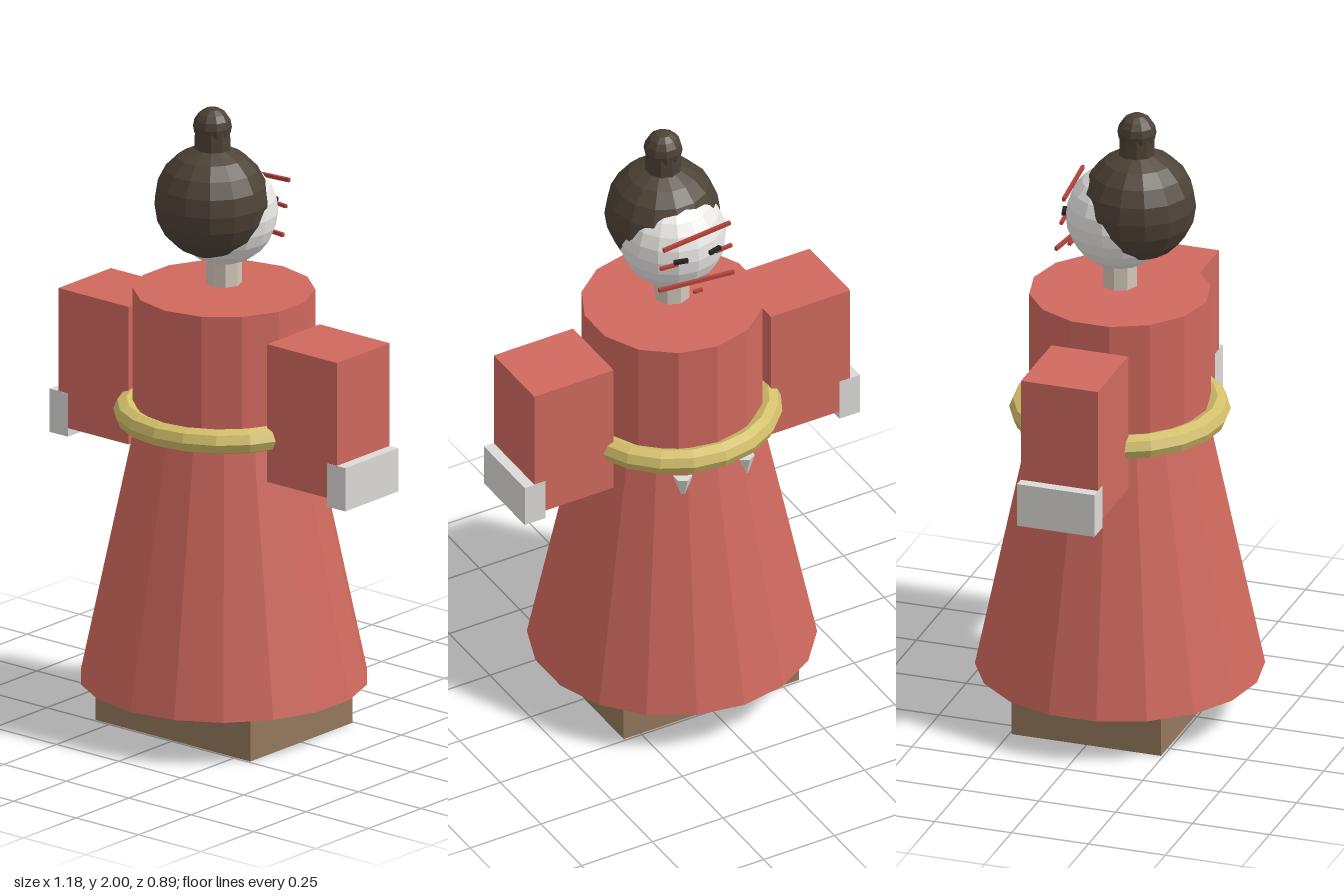
import * as THREE from 'three';

const mat = (color) => new THREE.MeshStandardMaterial({ color, flatShading: true });

export function createModel() {
  const model = new THREE.Group();
  const robe = mat(0xd0695e), gold = mat(0xd2bf6a), hairMat = mat(0x4c4236);
  const wood = mat(0x94785c), white = mat(0xe9e7e4), pale = mat(0xdcdad6);
  const skin = mat(0xd4c8b8), red = mat(0xb5433c), black = mat(0x26221f);

  const add = (name, geometry, material, x, y, z) => {
    const mesh = new THREE.Mesh(geometry, material);
    mesh.name = name;
    mesh.position.set(x, y, z);
    model.add(mesh);
    return mesh;
  };
  const box = (w, h, d) => new THREE.BoxGeometry(w, h, d);

  // Plinth and robe
  add('base', box(0.62, 0.15, 0.485), wood, 0, 0.075, 0);
  add('skirt', new THREE.CylinderGeometry(0.265, 0.445, 0.86, 18), robe, 0, 0.575, 0);
  add('torso', new THREE.CylinderGeometry(0.28, 0.28, 0.44, 14), robe, 0, 1.18, 0);
  add('belt', new THREE.TorusGeometry(0.3, 0.04, 8, 20), gold, 0, 1.005, 0).rotation.set(Math.PI / 2, 0, Math.PI / 2);

  // Sleeves, hands and small points below the belt
  for (const s of [-1, 1]) {
    add('sleeve', box(0.28, 0.445, 0.25), robe, s * 0.418, 1.09, 0);
    add('hand', box(0.073, 0.14, 0.252), pale, s * 0.556, 0.91, 0);
    add('beltPoint', new THREE.ConeGeometry(0.03, 0.1, 6), pale, s * 0.11, 0.885, -0.258).rotation.x = Math.PI;
  }

  // Neck, head, hair and topknot
  add('neck', new THREE.CylinderGeometry(0.055, 0.055, 0.12, 8), skin, 0, 1.48, 0);
  add('head', new THREE.SphereGeometry(0.167, 16, 12), white, 0, 1.652, 0);
  add('hair', new THREE.SphereGeometry(0.178, 14, 10), hairMat, 0, 1.7, 0.06);
  add('topknotStem', new THREE.CylinderGeometry(0.055, 0.058, 0.11, 10), hairMat, 0, 1.89, 0.055);
  add('topknotBall', new THREE.SphereGeometry(0.06, 10, 8), hairMat, 0, 1.94, 0.055);

  // Painted face, on the rear-facing side
  add('browLine', box(0.25, 0.012, 0.01), red, 0, 1.735, -0.152).rotation.y = 0.1;
  add('cheekLine', box(0.25, 0.012, 0.01), red, 0, 1.565, -0.15).rotation.y = -0.12;
  for (const s of [-1, 1]) {
    add('eye', box(0.045, 0.012, 0.012), black, s * 0.06, 1.667, -0.16).rotation.y = s * -0.25;
    add('eyeLine', box(0.06, 0.01, 0.01), red, s * 0.097, 1.655, -0.15).rotation.y = s * -0.1;
  }
  add('mouth', box(0.03, 0.01, 0.01), red, 0, 1.535, -0.16);

  return model;
}
